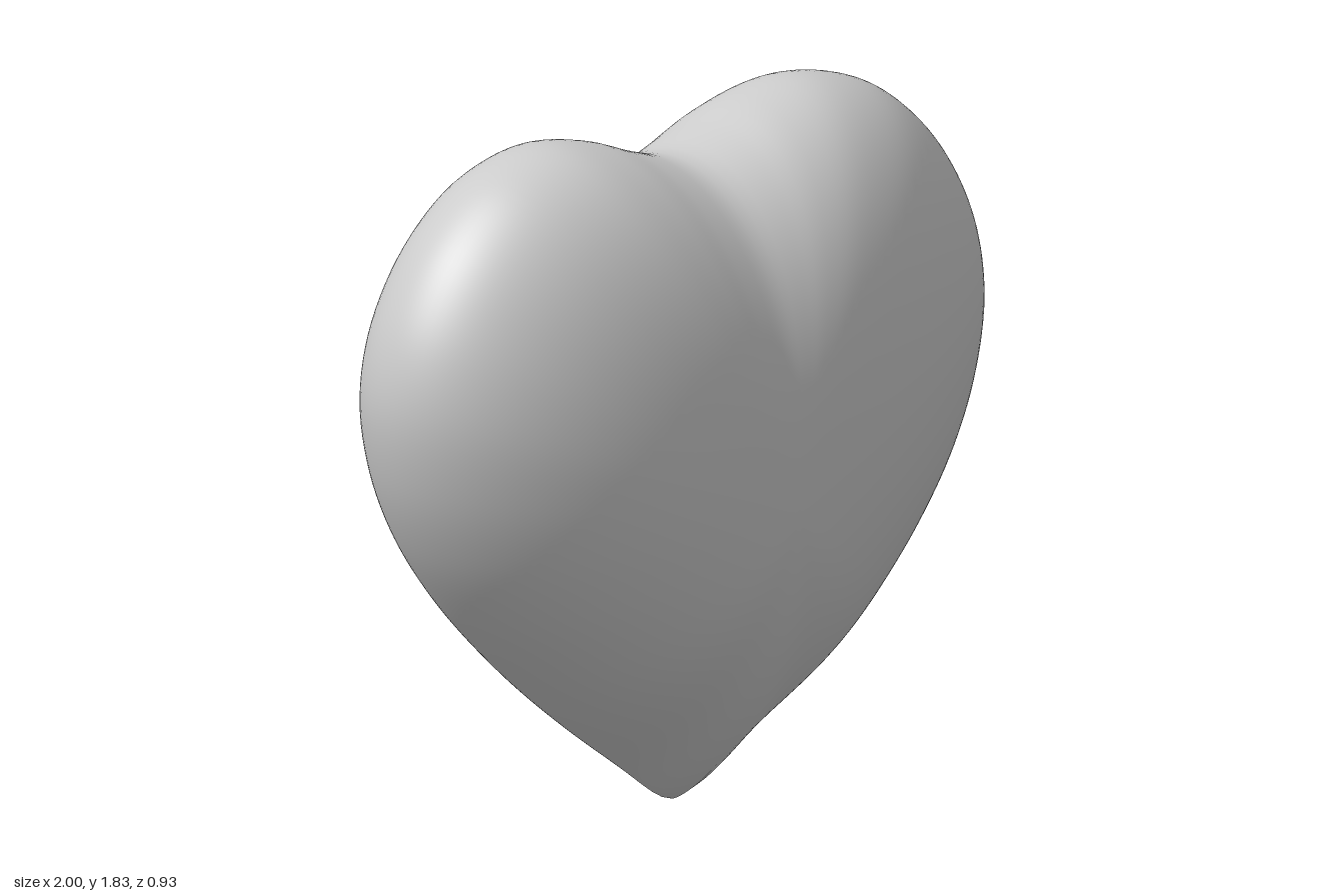
import * as THREE from 'three';

const CENTRE_Y = 0.87, DEPTH = 0.465, SEGMENTS = 160, RINGS = 80;

// Left half of the heart outline, from the bottom tip up to the notch.
const HALF = [
  [0, 0], [0.05, 0.02], [0.17, 0.11], [0.33, 0.235], [0.545, 0.43], [0.73, 0.625],
  [0.87, 0.82], [0.96, 1.02], [0.998, 1.23], [0.97, 1.41], [0.89, 1.57], [0.785, 1.69],
  [0.65, 1.782], [0.455, 1.83], [0.28, 1.802], [0.13, 1.745], [0, 1.71],
];

function heartOutline() {
  const mirrored = HALF.slice(1, -1).reverse().map(([x, y]) => [-x, y]);
  const points = [...HALF, ...mirrored].map(([x, y]) => new THREE.Vector3(x, y, 0));
  return new THREE.CatmullRomCurve3(points, true).getSpacedPoints(SEGMENTS).slice(0, SEGMENTS);
}

// Rings of the outline swell from a front pole to the rim and back to a rear pole.
function heartGeometry() {
  const outline = heartOutline();
  const positions = [0, CENTRE_Y, DEPTH];
  const indices = [];
  for (let i = 1; i < RINGS; i++) {
    const phi = (i / RINGS) * Math.PI;
    const s = Math.sin(phi);
    const side = Math.sign(RINGS / 2 - i);
    for (const { x, y } of outline) {
      // The bulge is leaner towards the bottom tip.
      const angle = Math.atan2(Math.abs(x), CENTRE_Y - y);
      const lean = Math.exp(-((angle / 0.45) ** 2));
      const bulge = Math.max(0, 1 - s ** (2.4 - 0.4 * lean)) ** (0.5 + 0.3 * lean);
      positions.push(x * s, CENTRE_Y + (y - CENTRE_Y) * s, side * DEPTH * bulge);
    }
  }
  positions.push(0, CENTRE_Y, -DEPTH);

  const last = positions.length / 3 - 1;
  const at = (ring, j) => 1 + (ring - 1) * SEGMENTS + (j % SEGMENTS);
  for (let j = 0; j < SEGMENTS; j++) {
    indices.push(0, at(1, j), at(1, j + 1));
    for (let i = 1; i < RINGS - 1; i++) {
      const a = at(i, j), b = at(i + 1, j), c = at(i + 1, j + 1), d = at(i, j + 1);
      indices.push(a, b, c, a, c, d);
    }
    indices.push(at(RINGS - 1, j), last, at(RINGS - 1, j + 1));
  }

  const geometry = new THREE.BufferGeometry();
  geometry.setAttribute('position', new THREE.Float32BufferAttribute(positions, 3));
  geometry.setIndex(indices);
  geometry.computeVertexNormals();
  return geometry;
}

export function createModel() {
  const group = new THREE.Group();
  group.name = 'heart';
  const body = new THREE.Mesh(heartGeometry(), new THREE.MeshStandardMaterial({ color: 0xcccccc }));
  body.name = 'heartBody';
  group.add(body);
  return group;
}
